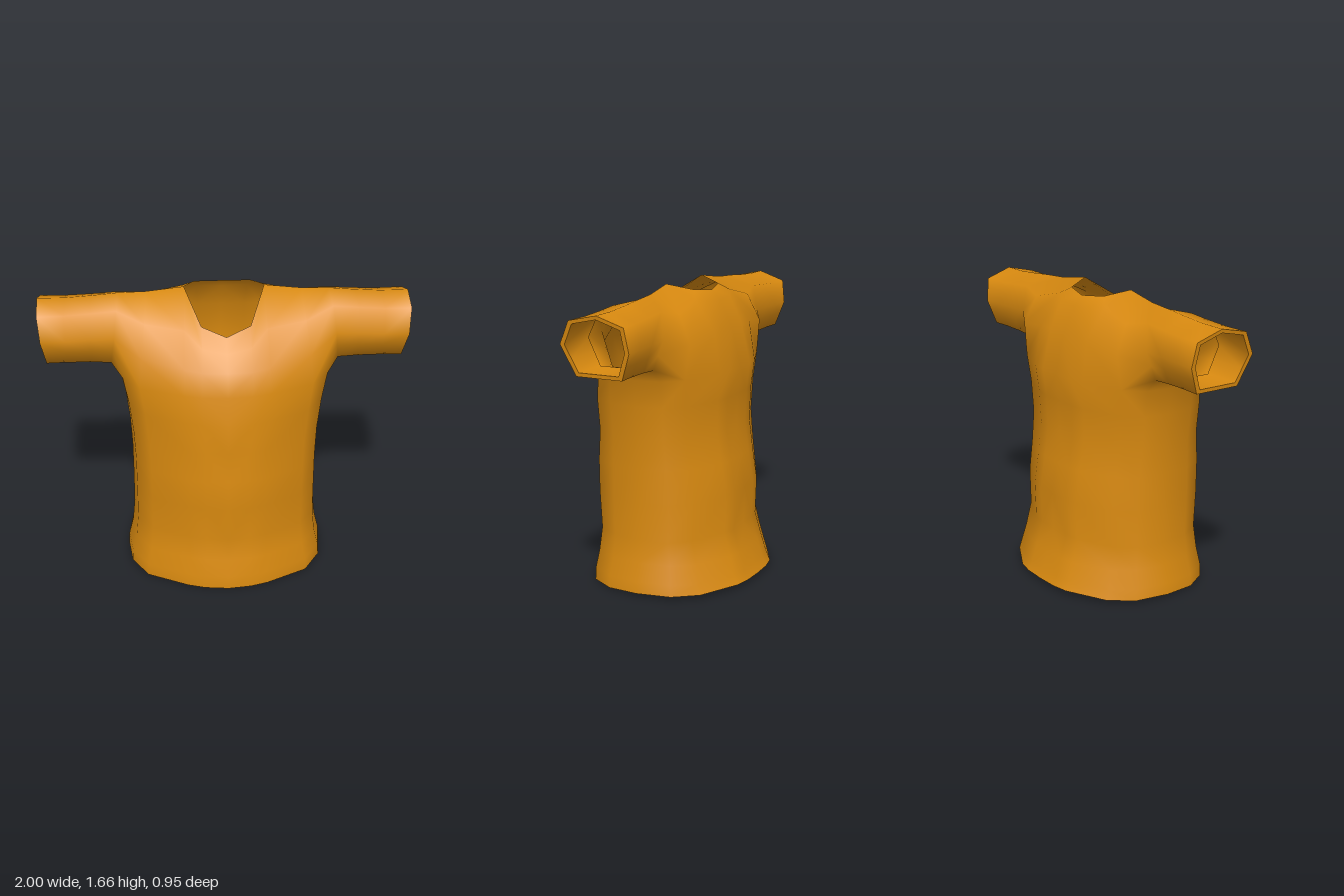
import * as THREE from 'three';
import { mergeVertices } from 'three/addons/utils/BufferGeometryUtils.js';

const cloth = new THREE.MeshStandardMaterial({ color: 0xd98a10, side: THREE.DoubleSide });
cloth.name = 'orange cloth';

// Collects quads for the left half and mirrors them to the right
function halfBuilder() {
  const out = [];
  const tri = (a, b, c) => {
    out.push(...a, ...b, ...c);
    for (const p of [a, c, b]) out.push(-p[0], p[1], p[2]);
  };
  const quad = (a, b, c, d) => { tri(a, b, c); tri(a, c, d); };
  const loft = (rings, closed) => {
    for (let k = 0; k + 1 < rings.length; k++) {
      const p = rings[k], q = rings[k + 1], n = p.length;
      for (let j = 0; j < (closed ? n : n - 1); j++) {
        const m = (j + 1) % n;
        if (closed) quad(p[j], q[j], q[m], p[m]);
        else quad(p[j], p[m], q[m], q[j]);
      }
    }
  };
  const mesh = (name) => {
    let g = new THREE.BufferGeometry();
    g.setAttribute('position', new THREE.Float32BufferAttribute(out, 3));
    g = mergeVertices(g, 1e-4);
    g.computeVertexNormals();
    const m = new THREE.Mesh(g, cloth);
    m.name = name;
    return m;
  };
  return { tri, quad, loft, mesh };
}

// Half outline of the body, from front centre round the side to back centre
const outline = [[0, 1], [0.23, 0.97], [0.4, 0.91], [0.8, 0.68], [0.96, 0.38], [1, 0],
  [0.96, -0.42], [0.8, -0.7], [0.4, -0.95], [0.23, -0.99], [0, -1]];
const bodyRing = (y, w, zf, zb, tilt = 0) => outline.map(([x, z]) =>
  [x * w, y + tilt * (0.5 - z / 2), z > 0 ? z * zf : -z * zb]);

// Sleeve outline as [z, y], from the front over the top and back underneath
const cuff = [[0.15, 1.36], [0.19, 1.44], [0.13, 1.565], [-0.03, 1.6], [-0.18, 1.55],
  [-0.2, 1.42], [-0.175, 1.35], [-0.15, 1.28], [-0.02, 1.28], [0.11, 1.28]];
function sleeveRing(xTop, xLow, scaleZ, scaleY, shiftY = 0) {
  return cuff.map(([z, y]) => {
    const t = (y - 1.28) / 0.32;
    return [xLow + (xTop - xLow) * t, 1.44 + (y - 1.44) * scaleY + shiftY, -0.01 + (z + 0.01) * scaleZ];
  });
}

export function createModel() {
  const shirt = new THREE.Group();
  shirt.name = 'shirt';

  // Body from hem to armpits: height, half width, front depth, back depth
  const body = halfBuilder();
  const hem = bodyRing(0.003, 0.565, 0.475, -0.472, 0.025);
  const rings = [hem, ...[
    [0.08, 0.56, 0.472, -0.448], [0.18, 0.535, 0.452, -0.418], [0.31, 0.522, 0.432, -0.378],
    [0.52, 0.52, 0.452, -0.385], [0.7, 0.52, 0.455, -0.355], [0.87, 0.528, 0.435, -0.33],
    [1.05, 0.548, 0.443, -0.335], [1.2, 0.578, 0.408, -0.35],
  ].map((r) => bodyRing(...r))];
  body.loft(rings);
  const top = rings[rings.length - 1];

  // Chest and back columns rising to the neckline and shoulder seam
  const front = [
    [[0, 1.33, 0.382], [0, 1.41, 0.31], [0, 1.475, 0.245]],
    [[0.13, 1.33, 0.375], [0.13, 1.43, 0.285], [0.13, 1.52, 0.205]],
    [[0.225, 1.34, 0.35], [0.22, 1.5, 0.2], [0.215, 1.66, -0.005]],
    [[0.45, 1.36, 0.25], [0.43, 1.52, 0.155], [0.42, 1.63, -0.02]],
  ].map((c, i) => [top[i], ...c]);
  const back = [
    [[0, 1.42, -0.295], [0, 1.56, -0.225], [0, 1.615, -0.175]],
    [[0.13, 1.42, -0.295], [0.14, 1.57, -0.215], [0.15, 1.63, -0.14]],
    [[0.225, 1.42, -0.3], [0.22, 1.59, -0.18], [0.215, 1.66, -0.005]],
    [[0.45, 1.39, -0.265], [0.43, 1.54, -0.195], [0.42, 1.63, -0.02]],
  ].map((c, i) => [top[10 - i], ...c]);
  for (let i = 0; i < 3; i++) {
    for (let r = 0; r < 3; r++) {
      const f = front[i], g = front[i + 1], b = back[i], c = back[i + 1];
      body.quad(f[r], g[r], g[r + 1], f[r + 1]);
      body.quad(c[r], b[r], b[r + 1], c[r + 1]);
    }
  }

  // Sleeves grow from the armhole loop
  const armhole = [...front[3], back[3][2], back[3][1], back[3][0], top[6], top[5], top[4]];
  const cuffEnd = sleeveRing(1, 0.96, 1, 1);
  body.loft([armhole, sleeveRing(0.57, 0.615, 0.92, 1.1, 0.006), sleeveRing(0.71, 0.72, 0.93, 1.04, 0.003),
    sleeveRing(0.85, 0.85, 0.96, 1), cuffEnd], true);
  shirt.add(body.mesh('bodyAndSleeves'));

  // Cuff edges and short linings inside the sleeves
  const inner = sleeveRing(0.997, 0.962, 0.87, 0.87);
  const cuffs = halfBuilder();
  cuffs.loft([cuffEnd, inner], true);
  shirt.add(cuffs.mesh('cuffEdges'));
  const lining = halfBuilder();
  lining.loft([inner, sleeveRing(0.75, 0.75, 0.86, 0.88)], true);
  shirt.add(lining.mesh('sleeveLinings'));

  // Turned-in hem and the panel closing the body above it
  const panelRing = bodyRing(0.06, 0.505, 0.42, -0.415);
  const hemFold = halfBuilder();
  hemFold.loft([panelRing, bodyRing(0.008, 0.545, 0.455, -0.452, 0.025), hem]);
  shirt.add(hemFold.mesh('hemFold'));
  const panel = halfBuilder();
  for (let i = 0; i < 10; i++) panel.tri([0, 0.06, 0], panelRing[i + 1], panelRing[i]);
  shirt.add(panel.mesh('bottomPanel'));

  return shirt;
}
